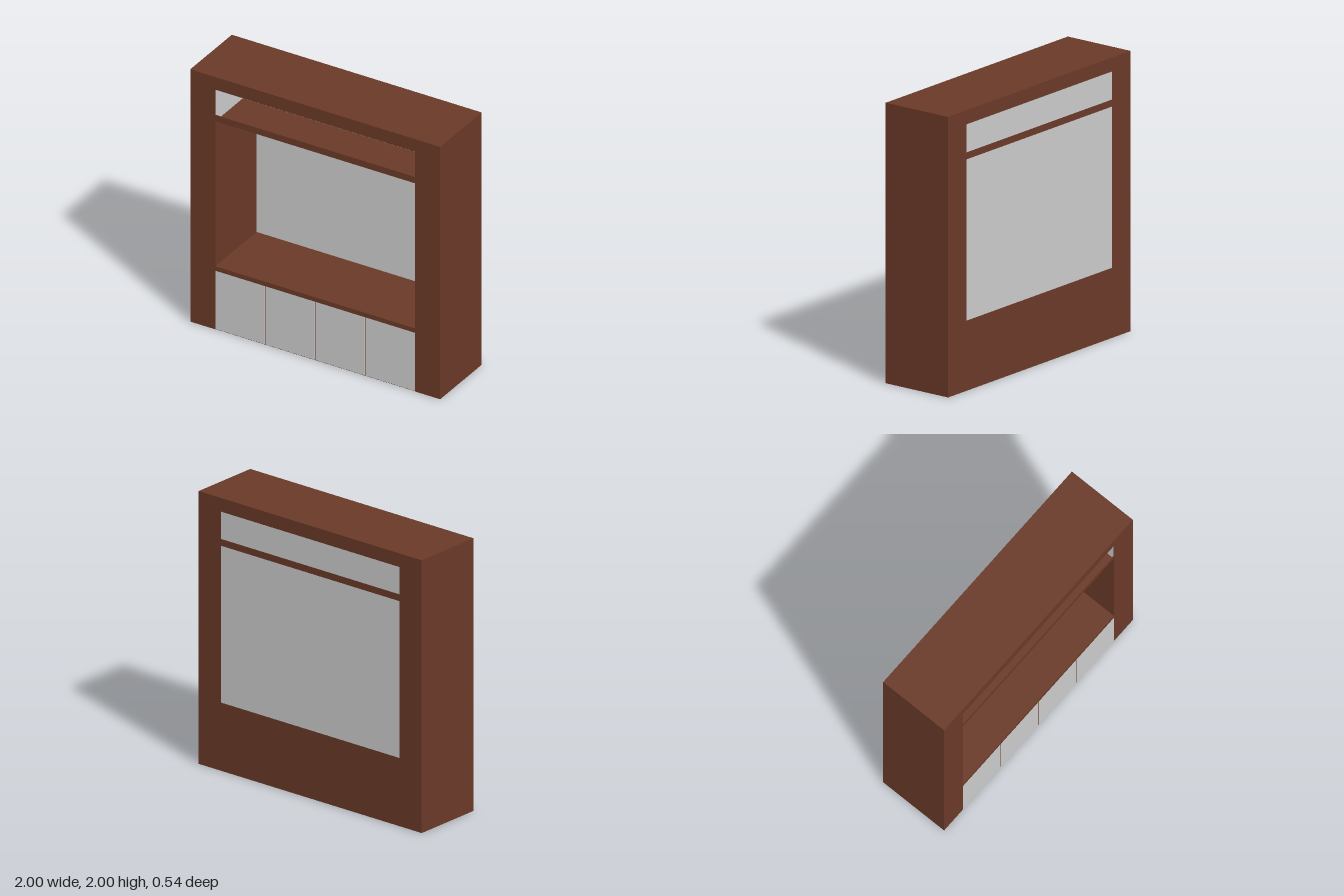
import * as THREE from 'three';

export function createModel() {
  const group = new THREE.Group();
  const wood = new THREE.MeshStandardMaterial({ color: 0x6a3927 });
  const grey = new THREE.MeshStandardMaterial({ color: 0xcccccc });
  const Z = 0.272; // half depth
  const T = 0.003; // thin sheets

  // Box given by its minimum and maximum corners
  function box(name, material, [x0, y0, z0], [x1, y1, z1]) {
    const mesh = new THREE.Mesh(new THREE.BoxGeometry(x1 - x0, y1 - y0, z1 - z0), material);
    mesh.position.set((x0 + x1) / 2, (y0 + y1) / 2, (z0 + z1) / 2);
    mesh.name = name;
    group.add(mesh);
  }

  // Outer frame
  box('rightPillar', wood, [-1, 0, -Z], [-0.8, 2, Z]);
  box('leftPillar', wood, [0.8, 0, -Z], [1, 2, Z]);
  box('topBeam', wood, [-0.8, 1.9, -Z], [0.8, 2, Z]);

  // Lower cabinet with its counter, and four flush doors
  box('cabinet', wood, [-0.8, 0, -Z], [0.8, 0.465, Z - T]);
  box('counter', wood, [-0.8, 0.465, -Z], [0.8, 0.5, Z]);
  const gap = 0.004;
  for (let i = 0; i < 4; i++) {
    const x = -0.8 + i * 0.4;
    box('door', grey,
      [x + (i > 0 ? gap : 0), 0.004, Z - T],
      [x + 0.4 - (i < 3 ? gap : 0), 0.465, Z]);
  }

  // Thin shelf with a raised lip at front and back
  box('shelf', wood, [-0.8, 1.65, -Z + T], [0.8, 1.65 + T, Z - T]);
  box('shelfFrontLip', wood, [-0.8, 1.65, Z - T], [0.8, 1.7, Z]);
  box('shelfBackLip', wood, [-0.8, 1.65, -Z], [0.8, 1.7, -Z + T]);

  // Back panels
  box('lowerBackPanel', grey, [-0.8, 0.5, -Z], [0.8, 1.65, -Z + T]);
  box('upperBackPanel', grey, [-0.8, 1.7, -Z], [0.8, 1.9, -Z + T]);

  // Grey lining of the upper compartment
  for (const s of [-1, 1]) {
    const a = s * 0.8, b = s * (0.8 - T);
    box('upperSideLining', grey,
      [Math.min(a, b), 1.65 + T, -Z + T], [Math.max(a, b), 1.9, Z - T]);
  }
  box('upperCeilingLining', grey, [-0.8 + T, 1.9 - T, -Z + T], [0.8 - T, 1.9, Z - T]);

  return group;
}
